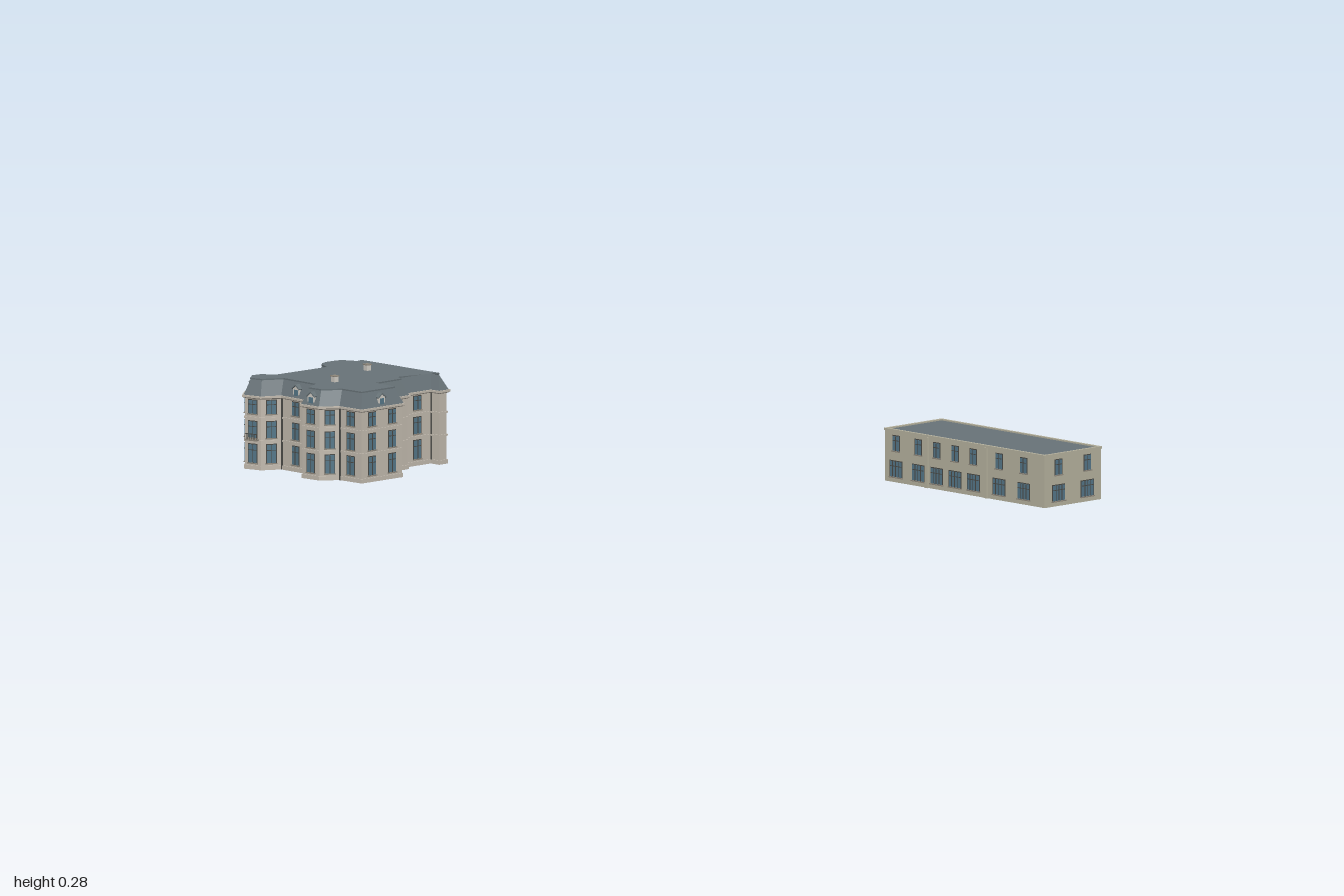
import * as THREE from 'three';

const mat = (color) => new THREE.MeshStandardMaterial({ color, side: THREE.DoubleSide, flatShading: true });
const M = {
  stone: mat(0xc4bcb0), plaster: mat(0xb8b4a0), slate: mat(0x687378), trim: mat(0x8f887c),
  glass: mat(0x56788a), bar: mat(0x4a4a46), pale: mat(0xd2cec6),
};

function add(parent, name, geometry, material, x = 0, y = 0, z = 0) {
  const mesh = new THREE.Mesh(geometry, material);
  mesh.name = name;
  mesh.position.set(x, y, z);
  parent.add(mesh);
  return mesh;
}
const box = (parent, name, size, material, x, y, z) =>
  add(parent, name, new THREE.BoxGeometry(...size), material, x, y, z);

// Outward direction, length and ends of every side of a plan
function sides(plan) {
  return plan.map(([x, z], i) => {
    const [x2, z2] = plan[(i + 1) % plan.length];
    const length = Math.hypot(x2 - x, z2 - z);
    return { x, z, x2, z2, length, nx: (z2 - z) / length, nz: (x - x2) / length };
  });
}

// Plan moved inward by d, with mitred corners
function inset(plan, d) {
  const s = sides(plan);
  return plan.map(([x, z], i) => {
    const a = s[(i + s.length - 1) % s.length], b = s[i];
    const k = d / (1 + a.nx * b.nx + a.nz * b.nz);
    return [x - (a.nx + b.nx) * k, z - (a.nz + b.nz) * k];
  });
}

// Sweep a profile of [inset, height] pairs around a plan
function shell(plan, profile) {
  const rings = profile.map(([d, y]) => inset(plan, d).map(([x, z]) => [x, y, z]));
  const pos = [];
  for (let r = 0; r + 1 < rings.length; r++) {
    for (let i = 0; i < plan.length; i++) {
      const j = (i + 1) % plan.length, a = rings[r], b = rings[r + 1];
      pos.push(...a[i], ...b[i], ...a[j], ...a[j], ...b[i], ...b[j]);
    }
  }
  const g = new THREE.BufferGeometry();
  g.setAttribute('position', new THREE.Float32BufferAttribute(pos, 3));
  g.computeVertexNormals();
  return g;
}

// Flat lid over a plan
function lid(plan) {
  const shape = new THREE.Shape(plan.map(([x, z]) => new THREE.Vector2(x, -z)));
  return new THREE.ShapeGeometry(shape).rotateX(-Math.PI / 2);
}

// Group standing at fraction t of a side, its z axis pointing outward
function onSide(parent, name, s, t, y) {
  const g = new THREE.Group();
  g.name = name;
  g.position.set(s.x + (s.x2 - s.x) * t, y, s.z + (s.z2 - s.z) * t);
  g.rotation.y = Math.atan2(s.nx, s.nz);
  parent.add(g);
  return g;
}

// Window with surround, glass, glazing bars and sill
function windowAt(parent, s, t, y, w, h, panes = 2) {
  const g = onSide(parent, 'window', s, t, y);
  box(g, 'windowFrame', [w + 0.005, h + 0.005, 0.003], M.bar, 0, 0, 0);
  box(g, 'windowGlass', [w, h, 0.006], M.glass, 0, 0, 0);
  for (let i = 1; i < panes; i++) {
    box(g, 'glazingBar', [0.002, h, 0.008], M.bar, -w / 2 + (w * i) / panes, 0, 0);
  }
  box(g, 'transom', [w, 0.002, 0.008], M.bar, 0, h * 0.2, 0);
  box(g, 'sill', [w + 0.008, 0.003, 0.01], M.trim, 0, -h / 2 - 0.002, 0);
}

// Dormer with a small gable
function dormer(parent, s, t) {
  const g = onSide(parent, 'dormer', s, t, 0.214);
  const front = new THREE.Shape([[-0.013, 0], [0.013, 0], [0.013, 0.024], [0, 0.034], [-0.013, 0.024]]
    .map(([x, y]) => new THREE.Vector2(x, y)));
  add(g, 'dormerBody', new THREE.ExtrudeGeometry(front, { depth: 0.024, bevelEnabled: false }), M.pale, 0, 0, -0.024);
  box(g, 'dormerGlass', [0.015, 0.017, 0.003], M.glass, 0, 0.013, 0);
  for (const k of [-1, 1]) {
    box(g, 'dormerRoof', [0.02, 0.003, 0.028], M.slate, k * 0.0075, 0.03, -0.011).rotation.z = -k * 0.655;
  }
}

// Balcony slab with railing
function balcony(parent, s, t, y) {
  const g = onSide(parent, 'balcony', s, t, y);
  box(g, 'balconySlab', [0.04, 0.004, 0.014], M.trim, 0, 0, 0.007);
  box(g, 'balconyRail', [0.04, 0.002, 0.002], M.bar, 0, 0.018, 0.013);
  for (let i = 0; i < 6; i++) box(g, 'baluster', [0.0015, 0.018, 0.0015], M.bar, -0.019 + i * 0.0076, 0.009, 0.013);
}

function mansion() {
  const g = new THREE.Group();
  g.name = 'mansardBuilding';
  // Eaves plan, clockwise from the back right corner
  const plan = [
    [-0.358, -0.973], [-0.302, -0.614], [-0.347, -0.607], [-0.353, -0.64], [-0.445, -0.628],
    [-0.45, -0.602], [-0.547, -0.587], [-0.541, -0.503], [-0.711, -0.481], [-0.727, -0.568],
    [-0.779, -0.596], [-0.794, -0.667], [-0.742, -0.702], [-0.755, -0.81], [-0.811, -0.831],
    [-0.834, -0.889], [-0.789, -0.937], [-0.737, -0.939], [-0.711, -0.907], [-0.542, -0.924],
    [-0.531, -0.96], [-0.513, -0.979], [-0.484, -0.995], [-0.447, -0.998], [-0.411, -0.995], [-0.388, -0.961],
  ];
  const band = (y) => [[0.008, y], [0.005, y], [0.005, y + 0.005], [0.008, y + 0.005]];
  add(g, 'walls', shell(plan, [
    [0.005, 0], [0.005, 0.012], [0.008, 0.012], ...band(0.08), ...band(0.146),
    [0.008, 0.203], [0, 0.207], [0, 0.213], [0.006, 0.213],
  ]), M.stone);
  add(g, 'mansardRoof', shell(plan, [[0.004, 0.213], [0.024, 0.256], [0.022, 0.256], [0.022, 0.26], [0.026, 0.26]]), M.slate);
  add(g, 'roofTop', lid(inset(plan, 0.026)), M.slate).position.y = 0.26;

  // Three storeys of windows; the plain gable and short returns stay blank
  const wall = sides(inset(plan, 0.008));
  const blank = [0, 1, 2, 4, 6, 25];
  wall.forEach((s, i) => {
    if (blank.includes(i) || s.length < 0.026) return;
    const n = Math.max(1, Math.round(s.length / 0.085));
    const w = Math.min(0.026, s.length * 0.55);
    for (let k = 0; k < n; k++) {
      const t = (k + 0.5) / n;
      windowAt(g, s, t, 0.046, w, 0.052);
      windowAt(g, s, t, 0.115, w, 0.046);
      windowAt(g, s, t, 0.18, w, 0.038);
    }
  });
  // Drainpipes at the main corners
  for (const i of [3, 6, 9, 12, 13, 18, 19]) {
    add(g, 'drainpipe', new THREE.CylinderGeometry(0.003, 0.003, 0.205, 6), M.bar,
      wall[i].x + wall[i].nx * 0.003, 0.1025, wall[i].z + wall[i].nz * 0.003);
  }
  for (const i of [7, 10, 12, 16, 18, 22]) dormer(g, wall[i], i === 18 ? 0.35 : 0.5);
  balcony(g, wall[14], 0.5, 0.086);
  balcony(g, wall[22], 0.5, 0.086);
  for (const [x, z] of [[-0.655, -0.688], [-0.466, -0.79]]) {
    box(g, 'chimney', [0.014, 0.018, 0.016], M.pale, x, 0.268, z);
    box(g, 'chimneyCap', [0.018, 0.003, 0.02], M.trim, x, 0.277, z);
  }
  return g;
}

function longHouse() {
  const g = new THREE.Group();
  g.name = 'flatRoofBuilding';
  const plan = [[0.745, 0.312], [0.836, 0.96], [0.612, 0.991], [0.521, 0.343]];
  add(g, 'walls', shell(plan, [[0.002, 0], [0.002, 0.145], [0, 0.145], [0, 0.152], [0.008, 0.152], [0.008, 0.147]]), M.plaster);
  add(g, 'flatRoof', lid(inset(plan, 0.006)), M.slate).position.y = 0.148;
  sides(inset(plan, 0.002)).forEach((s, i) => {
    const long = i % 2 === 0;
    const spots = long ? [0.13, 0.285, 0.445, 0.56, 0.675, 0.79, 0.93] : [0.25, 0.76];
    for (const t of spots) {
      windowAt(g, s, t, 0.112, 0.024, 0.042);
      windowAt(g, s, t, 0.038, 0.046, 0.044, 4);
    }
    // Pilasters divide the long sides into three
    if (long) for (const t of [0.365, 0.275 + 0.46 - 0.115 + 0.115]) {
      box(onSide(g, 'pilaster', s, t, 0.0725), 'pilasterShaft', [0.012, 0.145, 0.008], M.plaster, 0, 0, 0.001);
    }
  });
  return g;
}

export function createModel() {
  const model = new THREE.Group();
  model.name = 'twoBuildings';
  model.add(mansion(), longHouse());
  return model;
}
